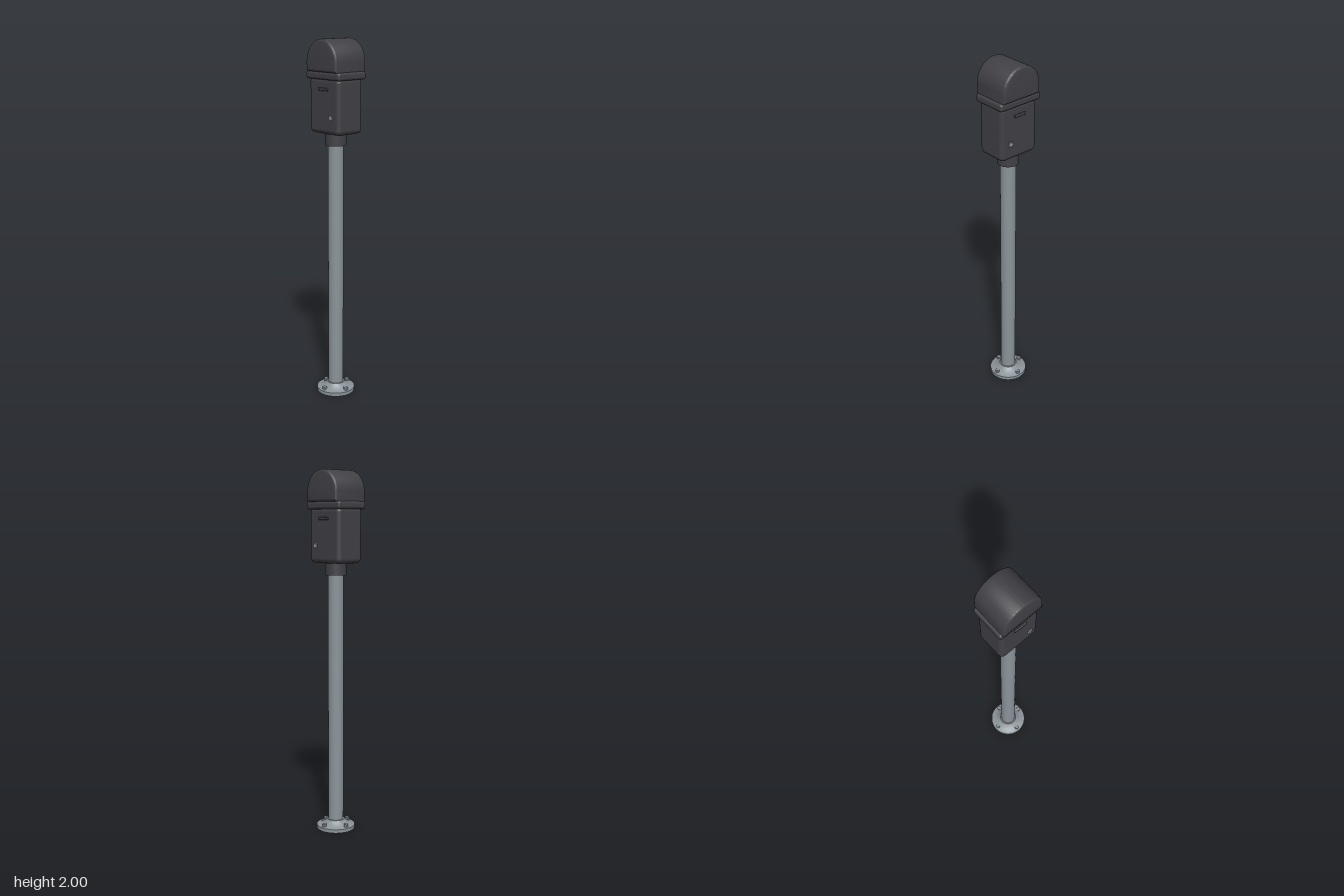
import * as THREE from 'three';
import { RoundedBoxGeometry } from 'three/addons/geometries/RoundedBoxGeometry.js';
import { toCreasedNormals } from 'three/addons/utils/BufferGeometryUtils.js';

export function createModel() {
  const model = new THREE.Group();
  const paint = (name, color, side = THREE.FrontSide) => {
    const m = new THREE.MeshStandardMaterial({ color, side });
    m.name = name;
    return m;
  };
  const charcoal = paint('charcoal', 0x414045);
  const steel = paint('galvanised steel', 0x8b949a, THREE.DoubleSide);
  const silver = paint('silver', 0xa0a0a2);

  const add = (name, geometry, material, x = 0, y = 0, z = 0) => {
    const mesh = new THREE.Mesh(geometry, material);
    mesh.name = name;
    mesh.position.set(x, y, z);
    model.add(mesh);
    return mesh;
  };

  // Flared base flange, open underneath
  const profile = [[0.075, 0.006], [0.078, 0], [0.108, 0], [0.108, 0.02], [0.084, 0.024],
    [0.056, 0.042], [0.05, 0.052], [0.042, 0.052]].map(([r, y]) => new THREE.Vector2(r, y));
  add('baseFlange', toCreasedNormals(new THREE.LatheGeometry(profile, 40), 0.5), steel);

  // Four hexagonal anchor bolts
  for (let i = 0; i < 4; i++) {
    const a = i * Math.PI / 2;
    add('anchorBolt', toCreasedNormals(new THREE.CylinderGeometry(0.013, 0.013, 0.016, 6), 0.5),
      steel, 0.086 * Math.cos(a), 0.03, 0.086 * Math.sin(a));
  }

  // Hollow pole
  add('pole', new THREE.CylinderGeometry(0.0425, 0.0425, 1.42, 32, 1, true), steel, 0, 0.74, 0);

  // Neck, body and collar
  add('neck', new THREE.CylinderGeometry(0.058, 0.058, 0.09, 32), charcoal, 0, 1.48, 0);
  add('body', new RoundedBoxGeometry(0.238, 0.3, 0.176, 4, 0.026), charcoal, 0, 1.651, 0);
  add('collar', new RoundedBoxGeometry(0.266, 0.042, 0.198, 3, 0.014), charcoal, 0, 1.81, 0);

  // Arched hood with bevelled faces
  const bevel = 0.014, half = 0.119 - bevel, top = 2 - bevel, bottom = 1.829 + bevel;
  const arch = new THREE.Shape();
  arch.moveTo(-half, bottom);
  arch.lineTo(half, bottom);
  arch.lineTo(half, top - half);
  arch.absarc(0, top - half, half, 0, Math.PI);
  arch.closePath();
  const hood = new THREE.ExtrudeGeometry(arch, {
    depth: 0.192, bevelEnabled: true, bevelSize: bevel, bevelThickness: 0.012, bevelSegments: 3, curveSegments: 32,
  });
  hood.translate(0, 0, -0.096);
  add('hood', toCreasedNormals(hood, 0.6), charcoal);

  // Coin slot plate and star-shaped lock on both faces
  const star = new THREE.Shape();
  for (let i = 0; i < 16; i++) {
    const r = i % 2 ? 0.01 : 0.015, a = i * Math.PI / 8;
    star[i ? 'lineTo' : 'moveTo'](r * Math.cos(a), r * Math.sin(a));
  }
  star.closePath();
  const lock = new THREE.ExtrudeGeometry(star, { depth: 0.009, bevelEnabled: false });
  for (const side of [1, -1]) {
    add('coinSlot', new RoundedBoxGeometry(0.075, 0.016, 0.016, 2, 0.004), charcoal, 0, 1.74, side * 0.088);
    const mesh = add('lock', lock, silver, 0.063, 1.594, side * 0.087);
    if (side < 0) mesh.rotation.y = Math.PI;
  }
  return model;
}
